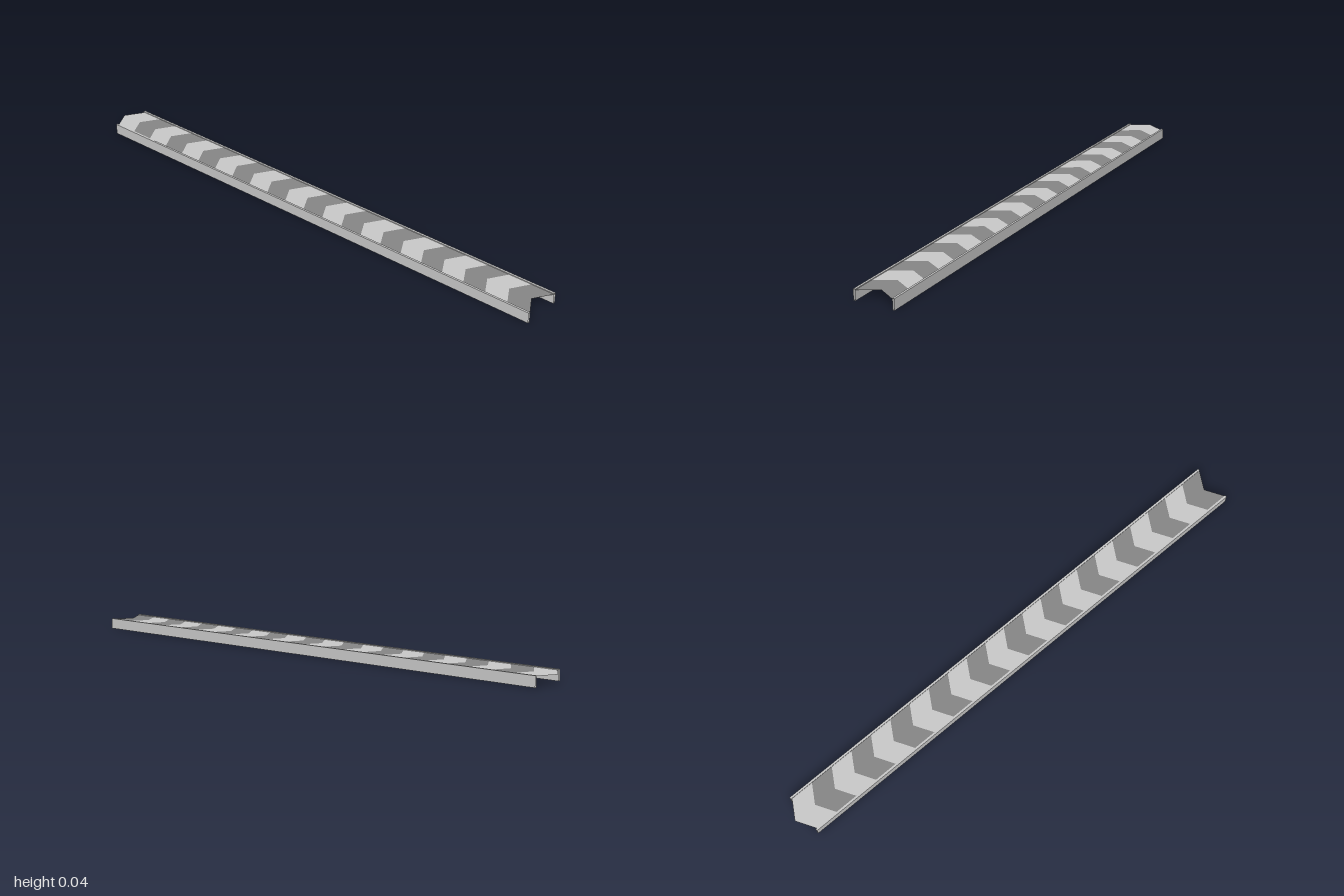
import * as THREE from 'three';

const PITCH = 0.089;   // length of one belt segment
const COUNT = 22;      // light and dark segments in turn
const POINT = 0.042;   // how far each chevron leads at its middle

export function createModel() {
  const group = new THREE.Group();
  const light = new THREE.MeshStandardMaterial({ color: 0xcccccc, side: THREE.DoubleSide });
  const dark = new THREE.MeshStandardMaterial({ color: 0x888888, side: THREE.DoubleSide });
  const under = new THREE.MeshStandardMaterial({ color: 0xcccccc });

  function add(name, geometry, material, parent = group) {
    const mesh = new THREE.Mesh(geometry, material);
    mesh.name = name;
    parent.add(mesh);
    return mesh;
  }

  // Belt: flat chevrons pointing towards -x
  const belt = new THREE.Group();
  belt.name = 'belt';
  group.add(belt);
  const half = 0.071;
  const chevron = new THREE.Shape([
    [0, 0], [POINT, -half], [POINT + PITCH, -half],
    [PITCH, 0], [POINT + PITCH, half], [POINT, half],
  ].map(([x, y]) => new THREE.Vector2(x, y)));
  const chevronGeometry = new THREE.ShapeGeometry(chevron).rotateX(-Math.PI / 2);
  for (let i = 0; i < COUNT; i++) {
    const segment = add(i % 2 ? 'darkSegment' : 'lightSegment', chevronGeometry, i % 2 ? dark : light, belt);
    segment.position.set(-1 + i * PITCH, 0.037, 0);
  }

  // Side rails: hollow box sections with open ends
  const railLength = 1.963, railHeight = 0.04, railWidth = 0.008;
  const railX = 1 - railLength / 2;
  for (const side of [1, -1]) {
    const rail = new THREE.Group();
    rail.name = side > 0 ? 'frontRail' : 'backRail';
    group.add(rail);
    const wall = new THREE.PlaneGeometry(railLength, railHeight);
    const strip = new THREE.PlaneGeometry(railLength, railWidth);
    const outer = add('outerWall', wall, light, rail);
    outer.position.set(railX, railHeight / 2, side * 0.078);
    outer.rotation.y = side > 0 ? 0 : Math.PI;
    const inner = add('innerWall', wall, light, rail);
    inner.position.set(railX, railHeight / 2, side * 0.07);
    inner.rotation.y = side > 0 ? Math.PI : 0;
    const top = add('topStrip', strip, light, rail);
    top.position.set(railX, railHeight, side * 0.074);
    top.rotation.x = -Math.PI / 2;
    const bottom = add('bottomStrip', strip, light, rail);
    bottom.position.set(railX, 0, side * 0.074);
    bottom.rotation.x = Math.PI / 2;
  }

  // Underside panel, facing down and stopping short of the notched end
  const start = -0.963, end = 0.91;
  const panel = add('undersidePanel', new THREE.PlaneGeometry(end - start, 0.14), under);
  panel.rotation.x = Math.PI / 2;
  panel.position.set((start + end) / 2, 0.004, 0);

  return group;
}
